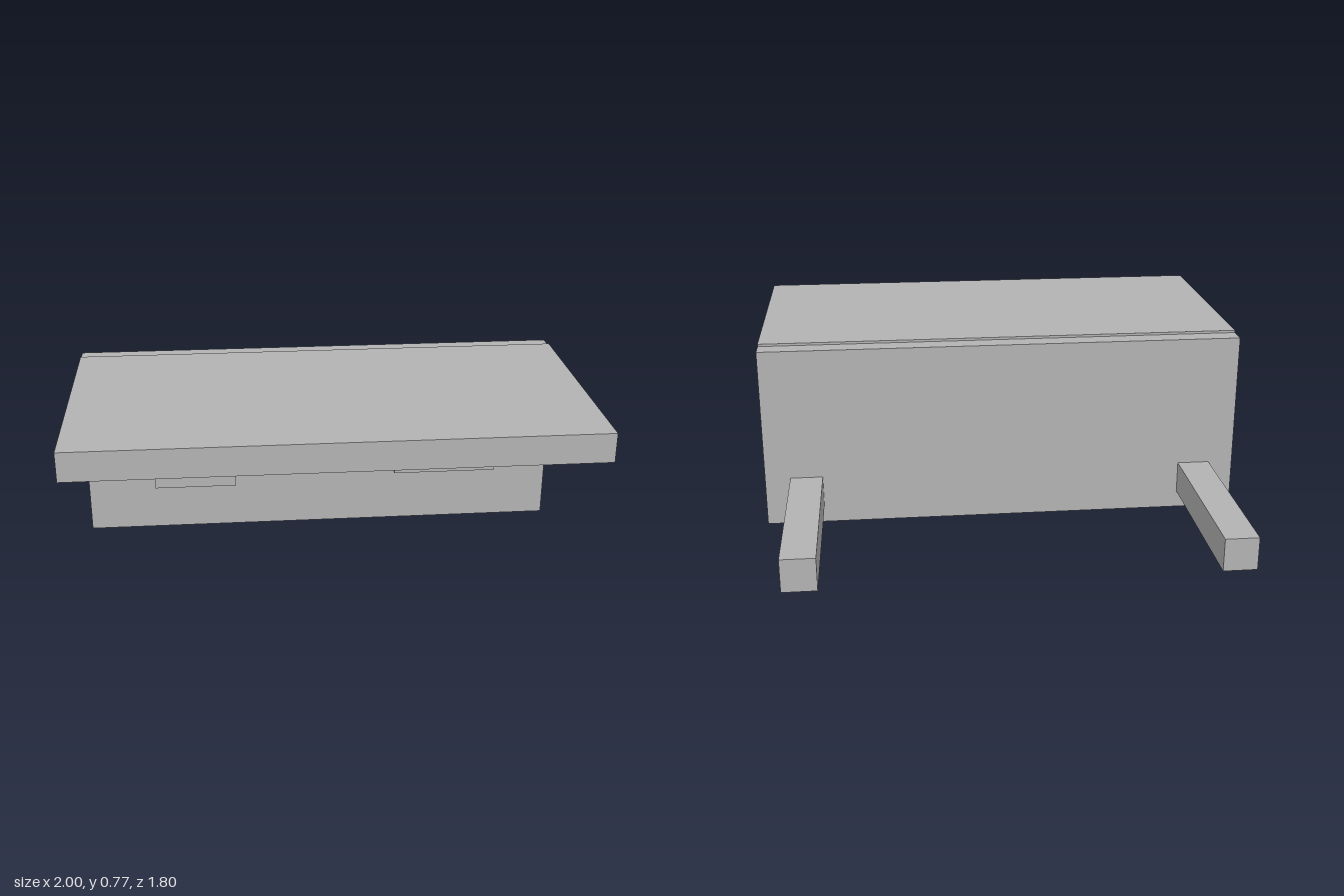
import * as THREE from 'three';

export function createModel() {
  const group = new THREE.Group();
  const grey = new THREE.MeshStandardMaterial({ color: 0xb2b2b2 });
  grey.name = 'grey';

  // Box given by its limits on each axis
  const box = (name, [x0, x1], [y0, y1], [z0, z1]) => {
    const mesh = new THREE.Mesh(new THREE.BoxGeometry(x1 - x0, y1 - y0, z1 - z0), grey);
    mesh.position.set((x0 + x1) / 2, (y0 + y1) / 2, (z0 + z1) / 2);
    mesh.name = name;
    group.add(mesh);
  };

  // Upright panel and the shelf resting slightly proud of its top
  box('uprightPanel', [-1, 1], [0, 0.762], [-0.152, 0.003]);
  box('shelf', [-1, 1], [0.657, 0.772], [-0.073, 0.9]);

  // Pair of arms reaching backwards
  box('leftArm', [0.76, 0.895], [0.072, 0.206], [-0.9, -0.15]);
  box('rightArm', [-0.897, -0.763], [0.072, 0.206], [-0.9, -0.15]);

  // Small blocks floating in front of the panel
  box('rightBlock', [-0.708, -0.368], [0.247, 0.42], [0.056, 0.133]);
  box('leftBlock', [0.317, 0.755], [0.257, 0.411], [0.056, 0.091]);

  // Horizontal roller between the blocks
  const roller = new THREE.Mesh(new THREE.CylinderGeometry(0.043, 0.043, 0.49, 24), grey);
  roller.rotation.z = Math.PI / 2;
  roller.position.set(0.045, 0.333, 0.055);
  roller.name = 'roller';
  group.add(roller);

  return group;
}
